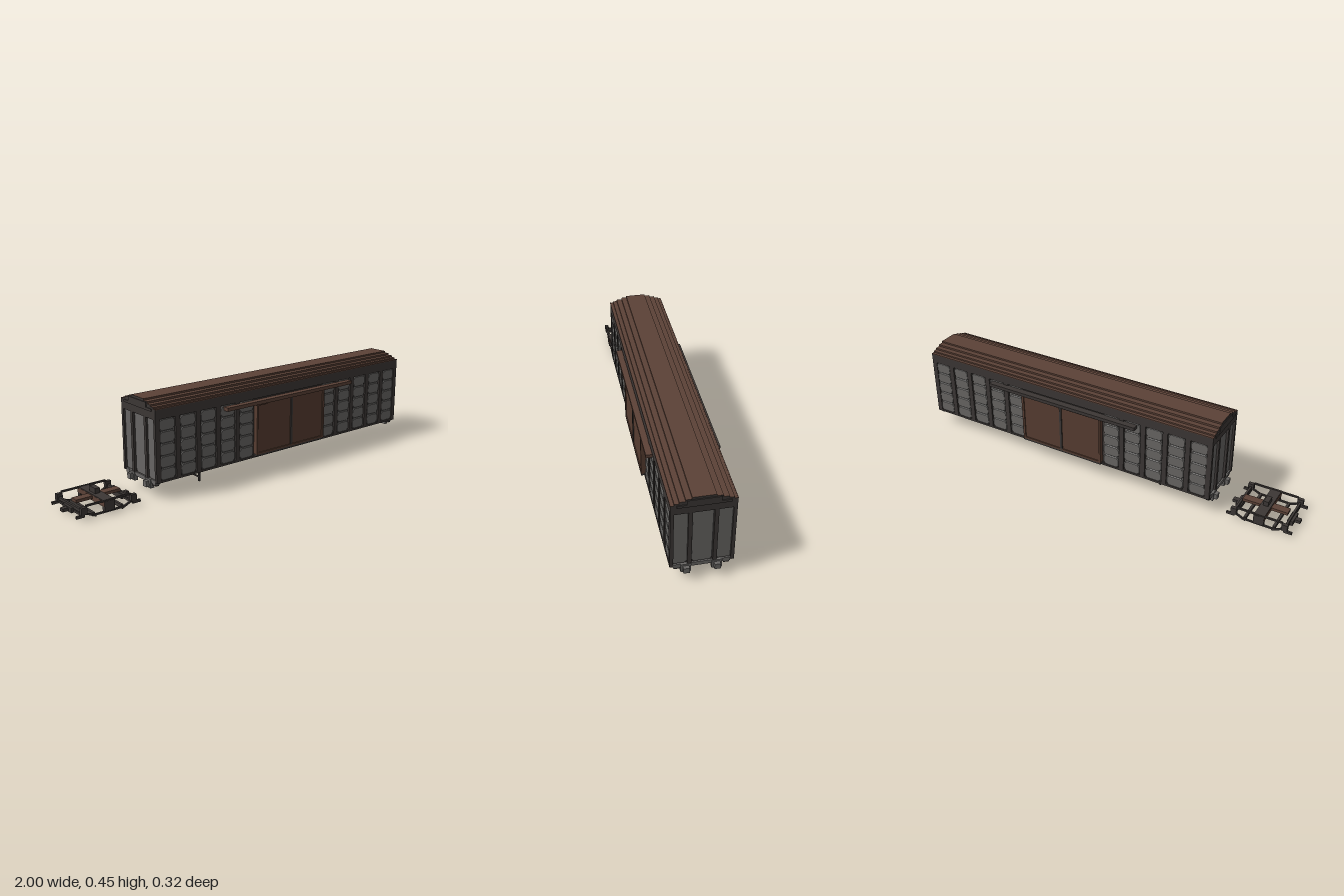
import * as THREE from 'three';

const mat = (name, color) => Object.assign(new THREE.MeshStandardMaterial({ color }), { name });

export function createModel() {
  const dark = mat('dark frame', 0x3c3735);
  const grey = mat('grey panel', 0x686664);
  const brown = mat('brown roof', 0x5c4237);
  const doorBrown = mat('brown door', 0x573d31);

  const model = new THREE.Group();
  model.name = 'boxcar';
  const group = (name) => {
    const g = new THREE.Group();
    g.name = name;
    model.add(g);
    return g;
  };
  // Box from its minimum and maximum along each axis
  const box = (parent, name, material, x0, x1, y0, y1, z0, z1) => {
    const m = new THREE.Mesh(new THREE.BoxGeometry(x1 - x0, y1 - y0, z1 - z0), material);
    m.position.set((x0 + x1) / 2, (y0 + y1) / 2, (z0 + z1) / 2);
    m.name = name;
    parent.add(m);
    return m;
  };
  // Bulging plate with cut corners, facing +z
  const plateGeometry = (w, h, cut, depth, bevel) => {
    const a = w / 2 - bevel, b = h / 2 - bevel, c = cut;
    const s = new THREE.Shape([
      [-a + c, -b], [a - c, -b], [a, -b + c], [a, b - c],
      [a - c, b], [-a + c, b], [-a, b - c], [-a, -b + c],
    ].map(([x, y]) => new THREE.Vector2(x, y)));
    return new THREE.ExtrudeGeometry(s, {
      depth, bevelEnabled: true, bevelSize: bevel, bevelThickness: bevel, bevelSegments: 1,
    });
  };

  const X0 = -0.6, X1 = 0.98, CX = 0.19, Z = 0.135;

  // Body core, upper bands and sills
  const body = group('body');
  box(body, 'core', dark, X0 + 0.014, X1 - 0.014, 0.09, 0.418, -0.125, 0.125);
  box(body, 'upperBand', dark, X0, X1, 0.372, 0.419, -Z, Z);
  for (const s of [1, -1]) {
    const z0 = s > 0 ? 0.12 : -Z, z1 = s > 0 ? Z : -0.12;
    box(body, 'sideSill', dark, X0, X1, 0.08, 0.09, z0, z1);
  }

  // Stepped arched roof: dark gable faces, brown top
  const half = [[0.135, 0.418], [0.135, 0.42], [0.12, 0.42], [0.12, 0.427], [0.1, 0.427], [0.1, 0.435],
    [0.075, 0.435], [0.075, 0.444], [0.049, 0.444], [0.049, 0.452]];
  const outline = [...half, ...half.map(([z, y]) => [-z, y]).reverse()];
  const roofShape = new THREE.Shape(outline.map(([z, y]) => new THREE.Vector2(z, y)));
  const roof = new THREE.Mesh(
    new THREE.ExtrudeGeometry(roofShape, { depth: X1 - X0, bevelEnabled: false }), [dark, brown]);
  roof.rotation.y = Math.PI / 2;
  roof.position.x = X0;
  roof.name = 'roof';
  model.add(roof);
  for (const s of [1, -1]) {
    box(model, 'roofEdgeStrip', brown, X0, X1, 0.417, 0.421, s * 0.134 - 0.002, s * 0.134 + 0.002);
  }

  // Side walls: ribs between columns of bulging panels
  const rows = 5, pitch = 0.1137, panelW = 0.087, rowH = 0.057;
  const bulge = plateGeometry(panelW, rowH - 0.001, 0.011, 0.002, 0.0035);
  for (const s of [1, -1]) {
    const side = group(s > 0 ? 'frontSide' : 'backSide');
    side.rotation.y = s > 0 ? 0 : Math.PI;
    side.position.x = CX;
    for (const dir of [-1, 1]) {
      for (let i = 0; i < 5; i++) {
        const x = dir * (0.272 + pitch * i);
        box(side, 'panelBacking', grey, x - 0.039, x + 0.039, 0.09, 0.368, 0.12, 0.1275);
        for (let r = 0; r < rows; r++) {
          const m = new THREE.Mesh(bulge, grey);
          m.position.set(x, 0.0865 + rowH * (r + 0.5), 0.1265);
          m.name = 'sidePanel';
          side.add(m);
        }
        const rib = dir * (0.272 + pitch * (i + 0.5));
        const w = i === 4 ? 0.009 : 0.0125;
        const edge = i === 4 ? dir * (0.79 - w) : rib;
        box(side, 'sideRib', dark, edge - w, edge + w, 0.085, 0.375, 0.12, Z);
      }
    }

    // Double sliding door with frame, hung from a rail
    const railMat = s > 0 ? brown : dark;
    box(side, 'doorLeaf', doorBrown, -0.222, 0.222, 0.097, 0.352, 0.12, 0.147);
    box(side, 'doorRail', railMat, -0.41, 0.41, 0.348, 0.365, 0.13, 0.162);
    for (const x of [-0.218, 0, 0.218]) {
      box(side, 'doorPost', x ? doorBrown : dark, x - 0.006, x + 0.006, 0.097, 0.35, 0.14, 0.152);
    }
    for (const y of [0.097, 0.34]) {
      box(side, 'doorFrame', doorBrown, -0.22, 0.22, y, y + 0.009, 0.14, 0.152);
    }
    box(side, 'doorThreshold', dark, -0.224, 0.224, 0.088, 0.097, 0.12, 0.151);
  }

  // End walls, built facing +x and turned for the other end
  for (const s of [1, -1]) {
    const end = group(s > 0 ? 'leftEnd' : 'rightEnd');
    end.position.x = CX;
    end.rotation.y = s > 0 ? 0 : Math.PI;
    for (const [z, w] of [[-0.093, 0.07], [0, 0.089], [0.093, 0.07]]) {
      const panel = new THREE.Mesh(plateGeometry(w, 0.284, 0.008, 0.002, 0.003), grey);
      panel.rotation.y = Math.PI / 2;
      panel.position.set(0.775, 0.231, z);
      panel.name = 'endPanel';
      end.add(panel);
    }
    for (const z of [-0.053, 0.053]) {
      box(end, 'endPost', dark, 0.77, 0.79, 0.088, 0.375, z - 0.0085, z + 0.0085);
    }
    for (const z of [-0.1315, 0.1315]) {
      box(end, 'cornerPost', dark, 0.765, 0.79, 0.08, 0.375, z - 0.0035, z + 0.0035);
    }
    box(end, 'gablePlate', dark, 0.785, 0.794, 0.407, 0.419, -0.11, 0.11);
    box(end, 'gablePlateTop', dark, 0.785, 0.794, 0.419, 0.441, -0.07, 0.07);
    // End beam, buffers and steps
    box(end, 'endBeam', grey, 0.765, 0.787, 0.07, 0.089, -0.12, 0.12);
    for (const z of [-0.063, 0.067]) {
      box(end, 'bufferBracket', grey, 0.772, 0.792, 0.046, 0.089, z - 0.022, z + 0.022);
      box(end, 'bufferHead', grey, 0.79, 0.808, 0.053, 0.08, z - 0.013, z + 0.013);
    }
    for (const z of [-0.104, 0.104]) {
      box(end, 'cornerStep', dark, 0.768, 0.785, 0.062, 0.08, z - 0.012, z + 0.012);
    }
  }

  // Floor with long beams and cross members
  const floor = group('underframe');
  box(floor, 'floor', dark, X0 + 0.01, X1 - 0.01, 0.085, 0.092, -0.13, 0.13);
  for (const z of [-0.085, -0.03, 0.03, 0.085]) {
    box(floor, 'longBeam', dark, X0 + 0.02, X1 - 0.02, 0.078, 0.087, z - 0.006, z + 0.006);
  }
  for (const x of [-0.31, -0.05, 0.19, 0.43, 0.69]) {
    box(floor, 'crossMember', dark, x - 0.012, x + 0.012, 0.08, 0.087, -0.125, 0.125);
  }

  // Loose thin uprights below the floor
  const hanger = group('hanger');
  for (const z of [-0.043, 0.053]) {
    box(hanger, 'hangerRod', dark, -0.311, -0.303, 0.002, 0.054, z - 0.004, z + 0.004);
  }
  box(hanger, 'hangerBar', dark, -0.31, -0.304, 0.02, 0.026, -0.043, 0.053);

  // Detached bogie frame
  const bogie = group('bogie');
  bogie.position.set(-0.835, 0, 0.008);
  for (const s of [-1, 1]) {
    const z = s * 0.106;
    const bar = (name, x0, x1, y0, y1, t = 0.004) => box(bogie, name, dark, x0, x1, y0, y1, z - t, z + t);
    bar('sideTopBar', -0.11, 0.11, 0.058, 0.066);
    bar('sideBottomBar', -0.08, 0.08, 0.008, 0.016);
    bar('sideSpringBox', -0.025, 0.025, 0.014, 0.06, 0.009);
    for (const e of [-1, 1]) {
      const strut = bar('sideStrut', -0.036, 0.036, 0.026, 0.034);
      strut.position.x = e * 0.096;
      strut.position.y = 0.021;
      strut.rotation.z = e * 0.42;
      bar('axleBox', e * 0.122 - 0.014, e * 0.122 + 0.014, 0.026, 0.058, 0.009);
      bar('axleBoxFoot', e * 0.138 - 0.02, e * 0.138 + 0.02, 0.014, 0.026, 0.005);
    }
    box(bogie, 'bearingBlock', dark, -0.022, 0.022, 0.045, 0.06, s * 0.095 - 0.012, s * 0.095 + 0.012);
  }
  for (const e of [-1, 1]) {
    box(bogie, 'endCrossBar', dark, e * 0.122 - 0.005, e * 0.122 + 0.005, 0.03, 0.044, -0.1, 0.1);
    box(bogie, 'endCrossFoot', dark, e * 0.122 - 0.005, e * 0.122 + 0.005, 0.015, 0.025, -0.1, 0.1);
    box(bogie, 'endBlock', dark, e * 0.125 - 0.014, e * 0.125 + 0.014, 0.012, 0.034, -0.045, 0.03);
    box(bogie, 'endStub', dark, e * 0.145 - 0.02, e * 0.145 + 0.02, 0.015, 0.03, -0.018, 0.006);
    box(bogie, 'brakePad', dark, e * 0.07 - 0.006, e * 0.07 + 0.006, 0.004, 0.02, -0.1, 0.1);
  }
  box(bogie, 'bolster', dark, -0.025, 0.025, 0.035, 0.064, -0.114, 0.114);
  box(bogie, 'bolsterPlate', brown, -0.026, 0.026, 0.037, 0.06, -0.113, 0.1145);
  box(bogie, 'centreBar', brown, -0.105, 0.115, 0.044, 0.058, -0.025, 0.015);
  box(bogie, 'pivot', dark, -0.012, 0.012, 0.06, 0.088, -0.032, 0.016);
  for (const x of [-0.165, 0.165]) {
    box(bogie, 'couplingTip', dark, x - 0.0001 - (x < 0 ? 0 : 0.01), x + (x < 0 ? 0.01 : 0), 0.018, 0.028, -0.014, 0.002);
  }
  return model;
}
